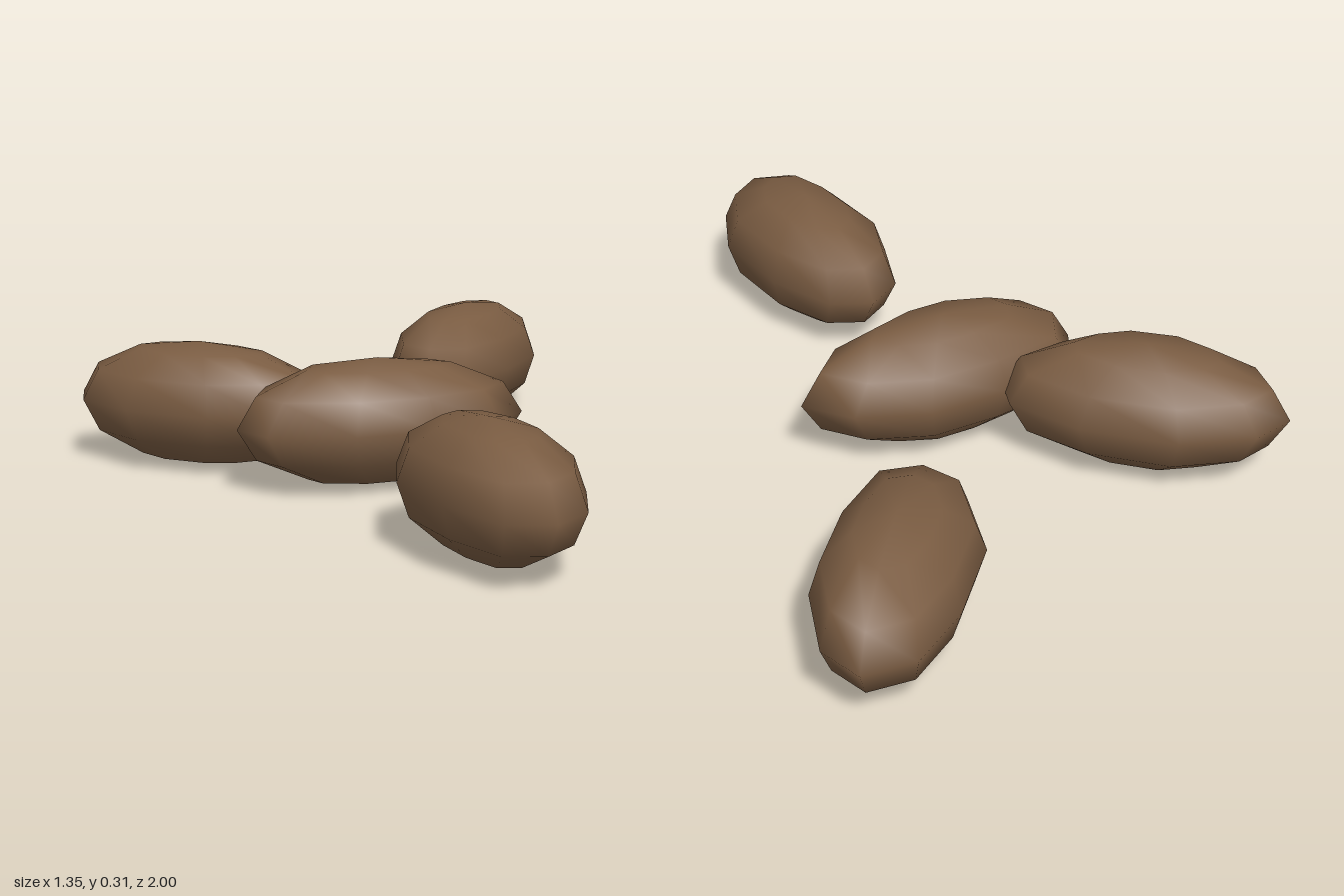
import * as THREE from 'three';

const CENTRE_Y = 0.16, HALF_HEIGHT = 0.155, RINGS = 6;

// Widest outline of each pebble as [x, z], clockwise seen from above
const outlines = {
  centrePebble: [[-0.39, -0.035], [-0.33, -0.16], [-0.13, -0.198], [0.07, -0.205], [0.24, -0.14],
    [0.33, -0.035], [0.24, 0.06], [0.06, 0.12], [-0.14, 0.13], [-0.34, 0.065]],
  frontPebble: [[-0.03, 0.32], [0.07, 0.365], [0.15, 0.53], [0.18, 0.76], [0.12, 0.92],
    [0.025, 0.995], [-0.08, 0.965], [-0.15, 0.78], [-0.18, 0.56], [-0.125, 0.385]],
  rightPebble: [[-0.677, -0.49], [-0.655, -0.605], [-0.545, -0.633], [-0.37, -0.574], [-0.2, -0.415],
    [-0.11, -0.246], [-0.14, -0.15], [-0.28, -0.135], [-0.43, -0.18], [-0.6, -0.325]],
  backPebble: [[0.51, -1.0], [0.635, -0.99], [0.672, -0.88], [0.615, -0.7], [0.48, -0.54],
    [0.32, -0.42], [0.21, -0.447], [0.16, -0.548], [0.21, -0.73], [0.36, -0.9]],
};

// Shrinks the outline towards a pole above and below, like a coarse sphere
function pebbleGeometry(outline) {
  const n = outline.length;
  const cx = outline.reduce((s, p) => s + p[0], 0) / n;
  const cz = outline.reduce((s, p) => s + p[1], 0) / n;
  const positions = [0, HALF_HEIGHT, 0];
  const indices = [];
  for (let r = 1; r < RINGS; r++) {
    const a = (Math.PI * r) / RINGS;
    for (const [x, z] of outline) {
      positions.push((x - cx) * Math.sin(a), HALF_HEIGHT * Math.cos(a), (z - cz) * Math.sin(a));
    }
  }
  positions.push(0, -HALF_HEIGHT, 0);
  const bottom = positions.length / 3 - 1;
  const at = (r, j) => 1 + (r - 1) * n + (j % n);
  for (let j = 0; j < n; j++) {
    indices.push(0, at(1, j + 1), at(1, j));
    for (let r = 1; r < RINGS - 1; r++) {
      indices.push(at(r, j), at(r, j + 1), at(r + 1, j));
      indices.push(at(r, j + 1), at(r + 1, j + 1), at(r + 1, j));
    }
    indices.push(bottom, at(RINGS - 1, j), at(RINGS - 1, j + 1));
  }
  const geometry = new THREE.BufferGeometry();
  geometry.setAttribute('position', new THREE.Float32BufferAttribute(positions, 3));
  geometry.setIndex(indices);
  geometry.computeVertexNormals();
  return { geometry, cx, cz };
}

export function createModel() {
  const group = new THREE.Group();
  group.name = 'pebbles';
  const brown = new THREE.MeshStandardMaterial({ color: 0x7a5c42 });
  brown.name = 'brown';
  for (const [name, outline] of Object.entries(outlines)) {
    const { geometry, cx, cz } = pebbleGeometry(outline);
    const pebble = new THREE.Mesh(geometry, brown);
    pebble.name = name;
    pebble.position.set(cx, CENTRE_Y, cz);
    group.add(pebble);
  }
  return group;
}
